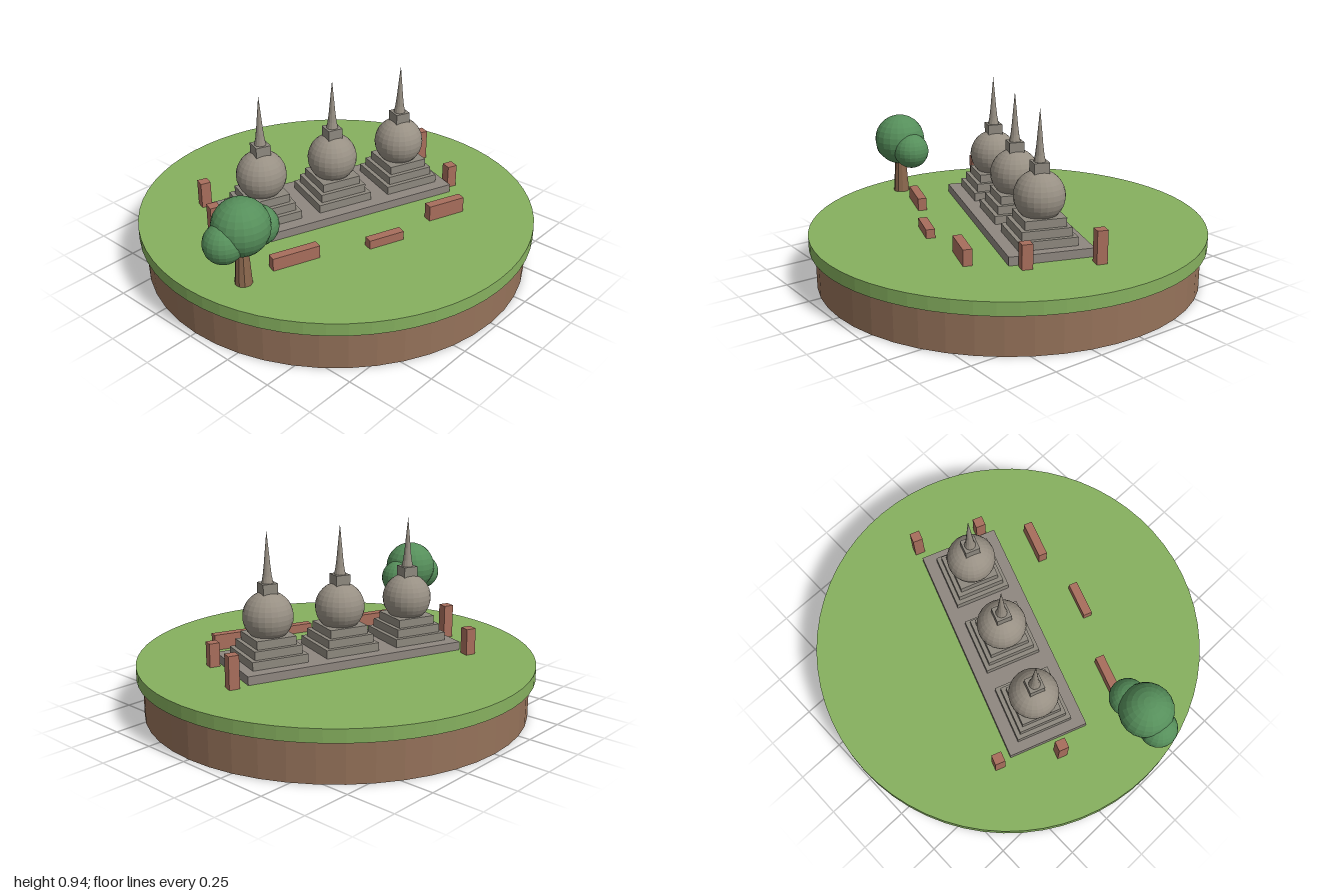
import * as THREE from 'three';

const mat = (name, color, flat = true) => {
  const m = new THREE.MeshStandardMaterial({ color });
  m.name = name;
  m.flatShading = flat;
  return m;
};

export function createModel() {
  const grass = mat('grass', 0x86b05f);
  const soil = mat('soil', 0x95725a);
  const paving = mat('paving', 0x8f8780);
  const stone = mat('stone', 0x8e897f);
  const domeStone = mat('domeStone', 0x989084);
  const brick = mat('brick', 0xa86e5c);
  const bark = mat('bark', 0x8c684e);
  const leaves = mat('leaves', 0x568f5b);

  const GROUND = 0.265, TILT = -Math.PI / 9;
  const root = new THREE.Group();
  root.name = 'templeIsland';

  const add = (parent, name, geometry, material, x = 0, y = 0, z = 0) => {
    const mesh = new THREE.Mesh(geometry, material);
    mesh.name = name;
    mesh.position.set(x, y, z);
    parent.add(mesh);
    return mesh;
  };
  // Box standing on height y
  const block = (parent, name, material, w, h, d, x, y, z) =>
    add(parent, name, new THREE.BoxGeometry(w, h, d), material, x, y + h / 2, z);

  // Round island
  add(root, 'soilBase', new THREE.CylinderGeometry(0.97, 0.97, 0.2, 48), soil, 0, 0.1, 0);
  add(root, 'grassTop', new THREE.CylinderGeometry(1, 1, 0.065, 64), grass, 0, 0.2325, 0);

  // Turned temple terrace
  const temple = new THREE.Group();
  temple.name = 'temple';
  temple.position.set(0.01, GROUND, -0.035);
  temple.rotation.y = TILT;
  root.add(temple);
  block(temple, 'terrace', paving, 1.17, 0.043, 0.415, 0, 0, 0);

  // Three stupas: stepped base, dome, square cap and spire
  const spireProfile = [[0.029, 0], [0.022, 0.035], [0.016, 0.085], [0.01, 0.15], [0, 0.252]]
    .map(([r, y]) => new THREE.Vector2(r, y));
  for (const x of [-0.39, 0, 0.39]) {
    const stupa = new THREE.Group();
    stupa.name = 'stupa';
    stupa.position.set(x, 0.043, 0);
    temple.add(stupa);
    [0.29, 0.247, 0.205].forEach((s, i) =>
      block(stupa, 'baseStep', stone, s, 0.042, s, 0, i * 0.042, 0));
    add(stupa, 'dome', new THREE.SphereGeometry(0.124, 24, 16), domeStone, 0, 0.213, 0);
    block(stupa, 'cap', stone, 0.076, 0.06, 0.076, 0, 0.318, 0);
    add(stupa, 'spire', new THREE.LatheGeometry(spireProfile, 12), domeStone, 0, 0.377, 0);
  }

  // Ruined brick pillars: x, z, height
  for (const [x, z, h] of [[-0.45, -0.495, 0.135], [-0.62, -0.23, 0.173], [0.70, 0, 0.162], [0.55, 0.31, 0.12]])
    block(root, 'brickPillar', brick, 0.052, h, 0.052, x, GROUND, z).rotation.y = TILT;

  // Ruined low walls: x, z, length, height
  for (const [x, z, l, h] of [[-0.525, 0.213, 0.24, 0.065], [-0.115, 0.415, 0.187, 0.045], [0.285, 0.473, 0.2, 0.08]])
    block(root, 'brickWall', brick, l, h, 0.045, x, GROUND, z).rotation.y = TILT;

  // Tree
  const tree = new THREE.Group();
  tree.name = 'tree';
  tree.position.set(-0.795, GROUND, 0.155);
  root.add(tree);
  add(tree, 'trunk', new THREE.CylinderGeometry(0.028, 0.042, 0.2, 10), bark, 0, 0.1, 0);
  for (const [x, y, z, r] of [[0, 0.295, 0, 0.135], [-0.097, 0.25, -0.01, 0.094], [0.11, 0.25, -0.005, 0.094]])
    add(tree, 'foliage', new THREE.SphereGeometry(r, 20, 14), leaves, x, y, z);

  return root;
}
